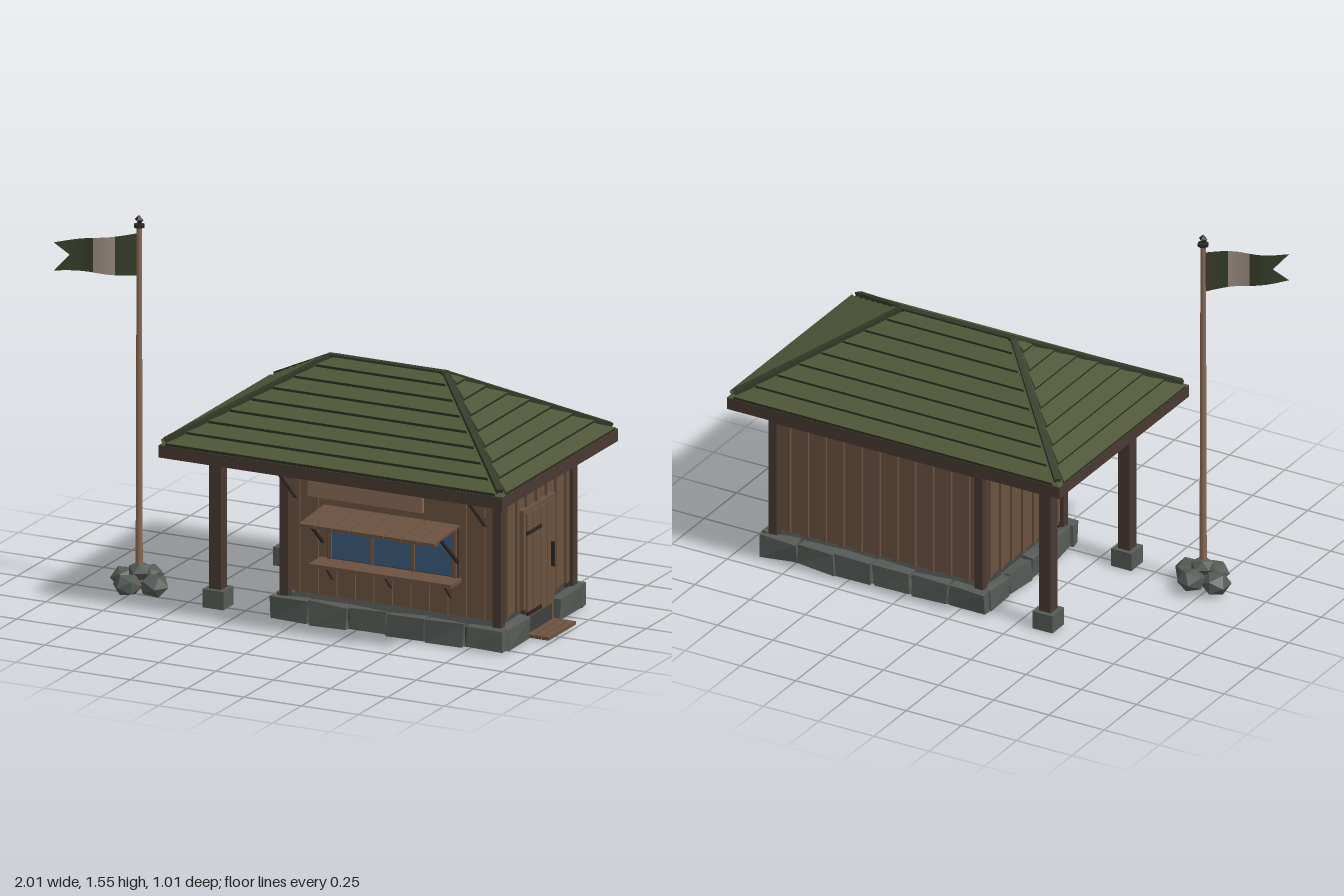
import * as THREE from 'three';

const mat = (name, color, extra = {}) => Object.assign(new THREE.MeshStandardMaterial({ color, ...extra }), { name });
const M = {
  roof: mat('roofGreen', 0x4f5638),
  darkGreen: mat('darkGreen', 0x343a28, { side: THREE.DoubleSide }),
  wood: mat('plankWood', 0x6b5240),
  timber: mat('darkTimber', 0x493932),
  pale: mat('paleWood', 0x8a6b55),
  stone: mat('stone', 0x565b57, { flatShading: true }),
  slab: mat('darkStone', 0x3d403d),
  iron: mat('iron', 0x2a2624),
  glass: mat('glass', 0x3a5a78),
  cloth: mat('paleCloth', 0x978a80, { side: THREE.DoubleSide }),
};

let seed = 7;
const rnd = () => (seed = (seed * 16807) % 2147483647) / 2147483647;

function add(parent, name, geo, material, x = 0, y = 0, z = 0) {
  const m = new THREE.Mesh(geo, material);
  m.name = name;
  m.position.set(x, y, z);
  parent.add(m);
  return m;
}

// Box given by its minimum and maximum on each axis
const span = (p, name, material, x0, x1, y0, y1, z0, z1) =>
  add(p, name, new THREE.BoxGeometry(x1 - x0, y1 - y0, z1 - z0), material, (x0 + x1) / 2, (y0 + y1) / 2, (z0 + z1) / 2);

// Rectangular bar between two points
function bar(p, name, material, a, b, w, h) {
  const A = new THREE.Vector3(...a), B = new THREE.Vector3(...b);
  const m = add(p, name, new THREE.BoxGeometry(w, h, A.distanceTo(B)), material);
  m.position.copy(A).lerp(B, 0.5);
  m.lookAt(B);
  return m;
}

// Box with randomly nudged corners, seen as a rough cut stone
function block(p, x0, x1, z0, z1) {
  const m = span(p, 'foundationStone', M.stone, x0, x1, 0.004, 0.092, z0, z1);
  const pos = m.geometry.attributes.position, seen = {};
  for (let i = 0; i < pos.count; i++) {
    const key = [0, 1, 2].map(k => pos.getComponent(i, k) > 0).join();
    seen[key] ??= [0, 1, 2].map(() => (rnd() - 0.5) * 0.014);
    seen[key].forEach((d, k) => pos.setComponent(i, k, pos.getComponent(i, k) + d));
  }
  m.geometry.computeVertexNormals();
}

const CX = 0.2475, HX = 0.7525, HZ = 0.502, EAVE = 0.71, TOP = 1.01;

function buildRoof(g) {
  span(g, 'eaveBoard', M.timber, CX - HX, CX + HX, 0.66, EAVE, -HZ, HZ);

  // Hipped shell
  const r = HX - HZ, e = [[-HX, HZ], [HX, HZ], [HX, -HZ], [-HX, -HZ]].map(([x, z]) => [x, EAVE, z]);
  const L = [-r, TOP, 0], R = [r, TOP, 0];
  const tris = [e[0], e[1], R, e[0], R, L, e[1], e[2], R, e[2], e[3], L, e[2], L, R, e[3], e[0], L];
  const geo = new THREE.BufferGeometry();
  geo.setAttribute('position', new THREE.Float32BufferAttribute(tris.flat(), 3));
  geo.computeVertexNormals();
  add(g, 'roofShell', geo, M.roof, CX);

  // Overlapping shingle courses on the four slopes
  const slope = (TOP - EAVE) / HZ, angle = Math.atan(slope), n = 8, step = HZ / n, len = step / Math.cos(angle);
  const faces = [[HX, HZ, 0], [HZ, HX, Math.PI / 2], [HX, HZ, Math.PI], [HZ, HX, -Math.PI / 2]];
  for (const [half, reach, turn] of faces) {
    const side = new THREE.Group();
    side.name = 'shingleSlope';
    side.position.x = CX;
    side.rotation.y = turn;
    g.add(side);
    for (let i = 0; i < n; i++) {
      const d = i * step, low = Math.max(half - d - 0.03, 0.012), high = Math.max(low - step, 0.004);
      const c = new THREE.BoxGeometry(2, 0.014, len);
      const p = c.attributes.position;
      for (let k = 0; k < p.count; k++) p.setX(k, p.getX(k) * (p.getZ(k) > 0 ? low : high));
      c.computeVertexNormals();
      const m = add(side, 'shingleCourse', c, [M.roof, M.roof, M.roof, M.roof, M.darkGreen, M.roof],
        0, EAVE + slope * (d + step / 2) + 0.002, reach - d - step / 2);
      m.rotation.x = angle - 0.17;
    }
  }

  // Hip and ridge caps
  for (const sx of [-1, 1]) for (const sz of [-1, 1])
    bar(g, 'hipCap', M.darkGreen, [CX + sx * (HX - 0.02), EAVE + 0.015, sz * (HZ - 0.02)], [CX + sx * r, TOP - 0.004, 0], 0.026, 0.024);
  span(g, 'ridgeCap', M.darkGreen, CX - r - 0.01, CX + r + 0.01, TOP - 0.018, TOP + 0.006, -0.014, 0.014);
}

const X0 = -0.09, X1 = 0.88, Z0 = -0.385, Z1 = 0.275;

function buildHut(g) {
  // Foundation with a ring of stones, open at the door
  span(g, 'foundationSlab', M.slab, -0.1, 0.89, 0, 0.08, -0.395, 0.285);
  for (let i = 0; i < 6; i++) {
    const a = -0.115 + i * 0.171;
    for (const z of [-0.413, 0.263]) block(g, a, a + 0.162, z, z + 0.045);
  }
  for (let i = 0; i < 4; i++) block(g, -0.118, -0.075, -0.37 + i * 0.16, -0.22 + i * 0.16);
  block(g, 0.865, 0.908, 0.075, 0.27);
  block(g, 0.865, 0.908, -0.38, -0.175);

  // Walls, head band and corner posts
  span(g, 'walls', M.wood, X0 + 0.015, X1 - 0.015, 0.115, 0.66, Z0 + 0.015, Z1 - 0.015);
  span(g, 'headBand', M.timber, X0 + 0.003, X1 - 0.003, 0.58, 0.66, Z0 + 0.003, Z1 - 0.003);
  for (const x of [X0, X1 - 0.037]) for (const z of [Z0, Z1 - 0.037])
    span(g, 'cornerPost', M.timber, x, x + 0.037, 0.08, 0.66, z, z + 0.037);

  // Battens over the plank joints
  for (let i = 0; i < 11; i++) {
    const x = -0.015 + i * 0.081;
    span(g, 'backBatten', M.wood, x - 0.01, x + 0.01, 0.115, 0.58, Z0 + 0.004, Z0 + 0.02);
    const inWindow = x > 0.09 && x < 0.71;
    span(g, 'frontBatten', M.wood, x - 0.009, x + 0.009, 0.115, inWindow ? 0.25 : 0.58, Z1 - 0.02, Z1 - 0.006);
  }
  for (let i = 0; i < 7; i++) {
    const z = -0.31 + i * 0.085, overDoor = z > -0.19 && z < 0.1;
    span(g, 'porchBatten', M.wood, X0 + 0.004, X0 + 0.02, 0.115, 0.58, z - 0.01, z + 0.01);
    span(g, 'doorWallBatten', M.wood, X1 - 0.02, X1 - 0.004, overDoor ? 0.52 : 0.115, 0.58, z - 0.01, z + 0.01);
  }
}

function buildDoor(g) {
  for (const [a, b] of [[0.07, 0.09], [-0.185, -0.165]]) span(g, 'doorJamb', M.wood, 0.86, 0.886, 0.115, 0.522, a, b);
  span(g, 'doorLintel', M.wood, 0.86, 0.886, 0.505, 0.522, -0.185, 0.09);
  span(g, 'doorBacking', M.timber, 0.862, 0.882, 0.012, 0.505, -0.165, 0.07);
  for (let i = 0; i < 4; i++) span(g, 'doorPlank', M.wood, 0.87, 0.89, 0.012, 0.503, -0.163 + i * 0.0585, -0.109 + i * 0.0585);
  for (const y of [0.095, 0.425]) span(g, 'hinge', M.iron, 0.885, 0.895, y - 0.007, y + 0.007, -0.05, 0.07);
  span(g, 'doorHandle', M.iron, 0.888, 0.906, 0.235, 0.335, -0.143, -0.136);
  for (let i = 0; i < 3; i++) span(g, 'doorStep', M.wood, 0.89 + i * 0.033, 0.919 + i * 0.033, 0, 0.014, -0.165, 0.07);
}

function buildWindow(g) {
  span(g, 'windowFrame', M.timber, 0.115, 0.69, 0.265, 0.475, 0.25, 0.268);
  for (let i = 0; i < 3; i++) span(g, 'windowPane', M.glass, 0.135 + i * 0.182, 0.305 + i * 0.182, 0.275, 0.465, 0.264, 0.271);
  for (let i = 0; i < 4; i++) span(g, 'windowMullion', M.wood, 0.121 + i * 0.182, 0.137 + i * 0.182, 0.265, 0.475, 0.262, 0.277);

  // Propped shutter
  for (let i = 0; i < 8; i++) {
    const x = 0.141 + i * 0.0745;
    bar(g, 'shutterPlank', M.wood, [x, 0.486, 0.275], [x, 0.47, 0.495], 0.07, 0.01);
  }
  span(g, 'shutterEdge', M.wood, 0.1, 0.7, 0.458, 0.468, 0.46, 0.485);
  for (const x of [0.1, 0.69]) bar(g, 'shutterProp', M.iron, [x, 0.335, 0.272], [x, 0.472, 0.425], 0.01, 0.01);

  // Serving shelf on triangular brackets
  span(g, 'servingShelf', M.wood, 0.085, 0.705, 0.256, 0.271, 0.262, 0.366);
  const tri = new THREE.Shape([[0, 0], [0.07, 0], [0, -0.075]].map(p => new THREE.Vector2(...p)));
  for (const x of [0.138, 0.395, 0.655]) {
    const m = add(g, 'shelfBracket', new THREE.ExtrudeGeometry(tri, { depth: 0.012, bevelEnabled: false }), M.timber, x + 0.006, 0.257, 0.265);
    m.rotation.y = -Math.PI / 2;
  }

  // Sign board and eave struts
  span(g, 'signBoard', M.pale, 0.143, 0.645, 0.592, 0.66, 0.478, 0.491);
  for (const x of [-0.02, 0.81]) bar(g, 'eaveStrut', M.timber, [x, 0.505, 0.268], [x, 0.66, 0.43], 0.018, 0.018);
}

function buildPorch(g) {
  for (const z of [-0.36, 0.25]) {
    span(g, 'porchPost', M.timber, -0.398, -0.345, 0.07, 0.66, z - 0.026, z + 0.026);
    span(g, 'postFooting', M.stone, -0.417, -0.326, 0, 0.075, z - 0.045, z + 0.045);
    span(g, 'porchBeam', M.timber, -0.398, -0.08, 0.585, 0.66, z - 0.022, z + 0.022);
  }
  span(g, 'porchCrossBeam', M.timber, -0.394, -0.349, 0.585, 0.66, -0.36, 0.25);
}

function buildFlagpole(g) {
  const px = -0.722, pz = 0.24;
  add(g, 'pole', new THREE.CylinderGeometry(0.011, 0.015, 1.48, 8), M.pale, px, 0.76, pz);
  add(g, 'poleCap', new THREE.CylinderGeometry(0.022, 0.022, 0.012, 8), M.iron, px, 1.505, pz);
  add(g, 'finial', new THREE.OctahedronGeometry(0.019), M.iron, px, 1.53, pz);

  // Rock pile
  const rocks = [[-0.797, 0.045, 0.21, 0.062], [-0.71, 0.055, 0.172, 0.06], [-0.648, 0.045, 0.257, 0.062], [-0.745, 0.045, 0.295, 0.06], [-0.722, 0.09, 0.235, 0.05]];
  rocks.forEach(([x, y, z, r], i) => {
    const m = add(g, 'rock', new THREE.IcosahedronGeometry(r, 0), M.stone, x, y, z);
    m.scale.y = 0.78;
    m.rotation.y = i * 1.3;
  });

  // Waving swallowtail flag in three bands
  const at = (t, v) => {
    const s = t > 0.8 ? t - (t - 0.8) * 0.85 * (1 - Math.abs(2 * v - 1)) : t;
    const y = THREE.MathUtils.lerp(1.3 + 0.035 * t, 1.472 - 0.022 * t, v);
    return [px - 0.01 - 0.268 * s, y, pz + 0.19 * s + 0.018 * Math.sin(2 * Math.PI * s)];
  };
  for (const [name, m, t0, t1] of [['flagHoist', M.darkGreen, 0, 0.24], ['flagStripe', M.cloth, 0.24, 0.53], ['flagTail', M.darkGreen, 0.53, 1]]) {
    const geo = new THREE.PlaneGeometry(1, 1, 6, 2), p = geo.attributes.position;
    for (let i = 0; i < p.count; i++) p.setXYZ(i, ...at(t0 + (t1 - t0) * (p.getX(i) + 0.5), p.getY(i) + 0.5));
    geo.computeVertexNormals();
    add(g, name, geo, m);
  }
}

export function createModel() {
  const model = new THREE.Group();
  model.name = 'rangerHut';
  const parts = { roof: buildRoof, hut: buildHut, door: buildDoor, servingWindow: buildWindow, porch: buildPorch, flagpole: buildFlagpole };
  for (const [name, build] of Object.entries(parts)) {
    const g = new THREE.Group();
    g.name = name;
    build(g);
    model.add(g);
  }
  return model;
}
